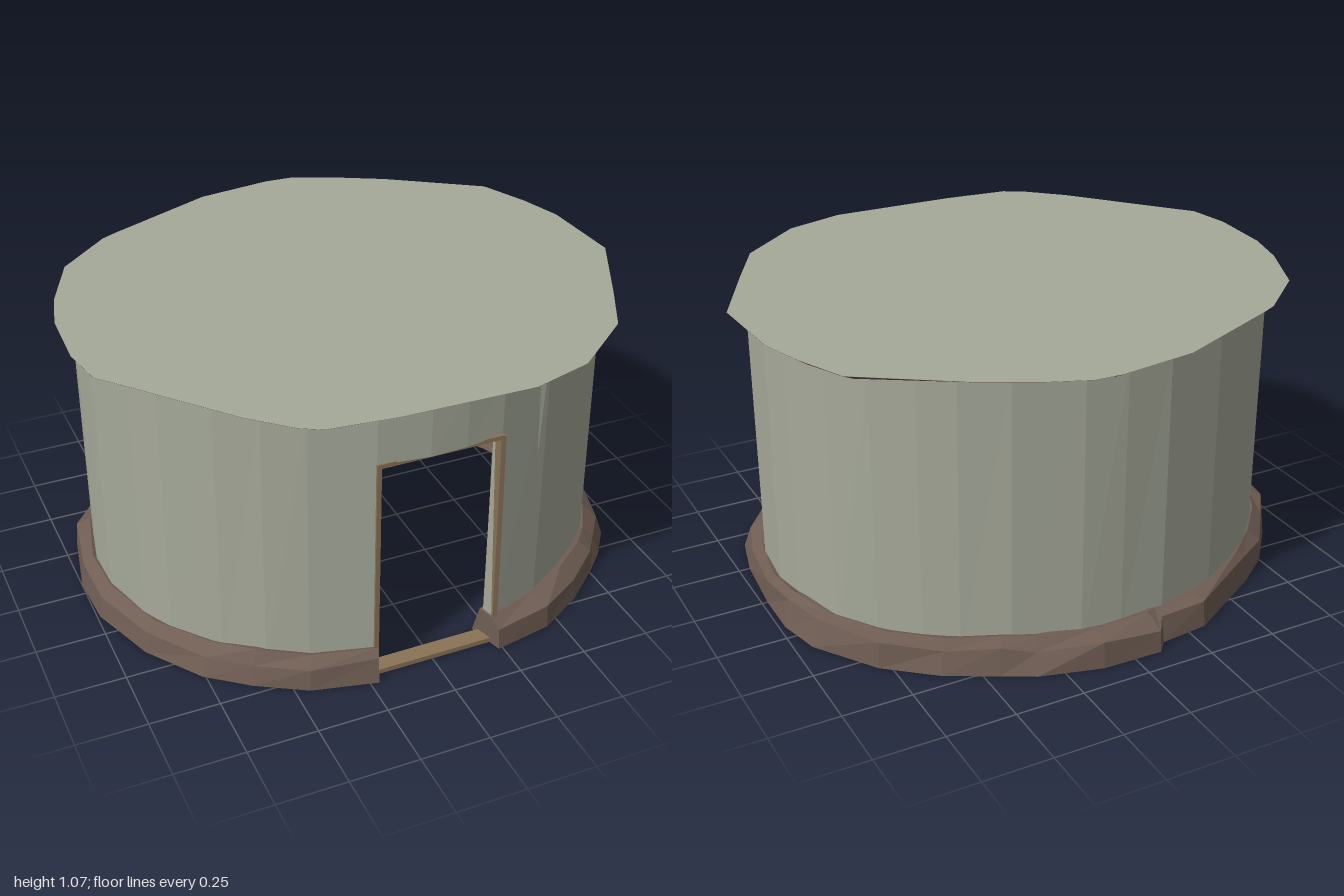
import * as THREE from 'three';

const material = (color) => new THREE.MeshStandardMaterial({ color, flatShading: true, side: THREE.DoubleSide });
const plaster = material(0xa5a999);
const stone = material(0x705e54);
const wood = material(0x8a7357);

// Repeatable unevenness in the range 0..1
const rough = (i, k = 0) => {
  const s = Math.sin(i * 12.99 + k * 78.23) * 43758.55;
  return s - Math.floor(s);
};

// Point on the slightly oval wall, at angle t from the front towards +x
const wallAt = (t, scale = 1) => [0.94 * scale * Math.sin(t), 0.01 + 0.83 * scale * Math.cos(t)];
const angleOf = ([x, z]) => Math.atan2(x / 0.94, (z - 0.01) / 0.83);
const mix = (a, b, f) => [a[0] + (b[0] - a[0]) * f, a[1] + (b[1] - a[1]) * f];
const at = ([x, z], y) => [x, y, z];

// Joins cross-sections (each ordered outer bottom, outer top, inner top, inner bottom)
function sweep(sections, { closedSection = true, ring = false } = {}) {
  const pos = [];
  const n = sections.length, m = sections[0].length;
  const tri = (...pts) => pts.forEach((p) => pos.push(...p));
  for (let i = 0; i < (ring ? n : n - 1); i++) {
    const A = sections[i], B = sections[(i + 1) % n];
    for (let j = 0; j < (closedSection ? m : m - 1); j++) {
      const k = (j + 1) % m;
      tri(A[j], B[j], B[k]);
      tri(A[j], B[k], A[k]);
    }
  }
  if (!ring && closedSection) {
    const S = sections[0], E = sections[n - 1];
    for (let j = 1; j < m - 1; j++) {
      tri(S[0], S[j], S[j + 1]);
      tri(E[0], E[j + 1], E[j]);
    }
  }
  const g = new THREE.BufferGeometry();
  g.setAttribute('position', new THREE.Float32BufferAttribute(pos, 3));
  g.computeVertexNormals();
  return g;
}

// Wall piece between two angles and two heights
function wallArc(t0, t1, y0, y1, steps) {
  const sections = [];
  for (let i = 0; i <= steps; i++) {
    const inside = i > 0 && i < steps;
    const t = t0 + (t1 - t0) * (i + (inside ? (rough(i) - 0.5) * 0.5 : 0)) / steps;
    const foot = inside ? 0.995 + rough(i, 1) * 0.01 : 1;
    sections.push([
      at(wallAt(t, foot), y0), at(wallAt(t), y1),
      at(wallAt(t, 0.95), y1), at(wallAt(t, 0.95), y0),
    ]);
  }
  return sweep(sections);
}

// Footing outline [x, z], from the left door jamb round the back to the right one
const footing = [
  [0.235, 0.87], [0.45, 0.83], [0.62, 0.73], [0.76, 0.61], [0.84, 0.53], [0.92, 0.42], [0.96, 0.25],
  [0.98, 0], [0.98, -0.18], [0.94, -0.34], [0.79, -0.56], [0.62, -0.7], [0.45, -0.79], [0.34, -0.85],
  [0.12, -0.91], [-0.1, -0.915], [-0.14, -0.87], [-0.32, -0.85], [-0.62, -0.67], [-0.75, -0.57],
  [-0.88, -0.41], [-0.95, -0.3], [-1, -0.05], [-0.99, 0.15], [-0.9, 0.4], [-0.76, 0.6], [-0.62, 0.71],
  [-0.45, 0.81], [-0.22, 0.865],
];

// Roof slab outline [x, z], in the same direction
const roofEdge = [
  [0.29, 0.905], [0.51, 0.84], [0.74, 0.65], [0.85, 0.44], [0.96, 0.22], [1, 0.14], [0.98, -0.18],
  [0.93, -0.34], [0.85, -0.52], [0.52, -0.74], [0.33, -0.84], [0.18, -0.9], [0.08, -0.905], [-0.2, -0.865],
  [-0.6, -0.69], [-0.66, -0.66], [-0.85, -0.49], [-0.95, -0.26], [-0.99, -0.1], [-1, 0.14], [-0.97, 0.3],
  [-0.9, 0.38], [-0.62, 0.71], [-0.49, 0.83], [-0.42, 0.87], [-0.18, 0.895],
];

export function createModel() {
  const group = new THREE.Group();
  const add = (name, geometry, mat) => {
    const mesh = new THREE.Mesh(geometry, mat);
    mesh.name = name;
    group.add(mesh);
    return mesh;
  };
  const doorL = 0.245, doorR = -0.235;

  // Round wall with a gap for the doorway, and the piece above it
  add('wall', wallArc(doorL, Math.PI * 2 + doorR, 0.02, 1.065, 30), plaster);
  add('wallOverDoor', wallArc(doorR, doorL, 0.855, 1.065, 3), plaster);

  // Thin raised crack beside the doorway
  const crack = add('wallCrack', new THREE.ConeGeometry(0.014, 0.4, 3), plaster);
  crack.rotation.x = Math.PI;
  crack.position.set(0.4, 0.86, 0.757);

  // Rough stone footing, battered outside and inside
  add('footing', sweep(footing.map((p, i) => {
    const t = angleOf(p);
    const bump = i === 14 || i === 15;
    const shoulder = mix(wallAt(t), p, bump ? 0.95 : 0.6 + rough(i, 2) * 0.35);
    const top = mix(wallAt(t), p, 0.05 + rough(i, 3) * 0.3);
    return [
      at(p, 0), at(shoulder, 0.07 + rough(i, 4) * 0.03), at(top, 0.105 + rough(i, 5) * 0.022),
      at(wallAt(t, 0.94), 0.09 + rough(i, 6) * 0.025), at(wallAt(t, 0.9), 0),
    ];
  })), stone);

  // Flat roof slab
  const shape = new THREE.Shape(roofEdge.map(([x, z]) => new THREE.Vector2(x, -z)));
  const roof = add('roof', new THREE.ShapeGeometry(shape).rotateX(-Math.PI / 2), plaster);
  roof.position.y = 1.07;

  // Ragged underside of the eaves, running back to the wall
  add('eaves', sweep(roofEdge.map((p, i) => {
    const w = wallAt(angleOf(p), 0.99);
    return [at(w, 1.055), at(mix(w, p, 0.3 + rough(i, 7) * 0.4), 1.04 + rough(i, 8) * 0.02), at(p, 1.069)];
  }), { closedSection: false, ring: true }), stone);

  // Wooden door frame
  const bar = (name, w, h, x, y, tilt = 0) => {
    const mesh = add(name, new THREE.BoxGeometry(w, h, 0.06), wood);
    mesh.position.set(x, y, 0.795);
    mesh.rotation.z = tilt;
  };
  bar('rightJamb', 0.016, 0.85, -0.213, 0.43);
  bar('leftJamb', 0.018, 0.85, 0.233, 0.43, 0.012);
  bar('lintel', 0.452, 0.016, 0.005, 0.851);
  bar('threshold', 0.46, 0.018, 0.01, 0.01);

  return group;
}
